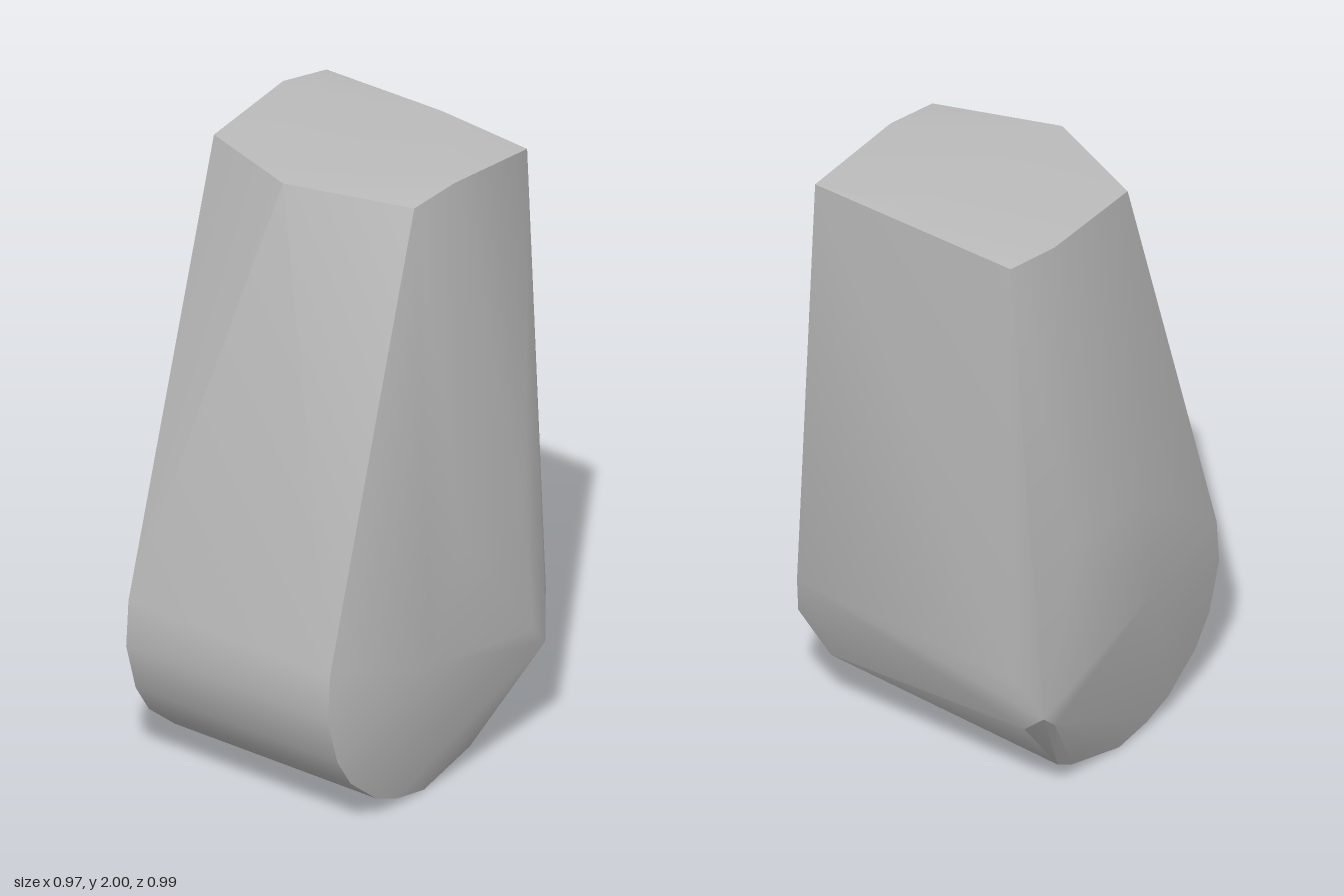
import * as THREE from 'three';
import { ConvexGeometry } from 'three/addons/geometries/ConvexGeometry.js';
import { toCreasedNormals } from 'three/addons/utils/BufferGeometryUtils.js';

export function createModel() {
  const group = new THREE.Group();
  const grey = new THREE.MeshStandardMaterial({ color: 0xbcbcbc });
  grey.name = 'stoneGrey';

  const points = [];
  const add = (list) => list.forEach((p) => points.push(new THREE.Vector3(...p)));

  // slightly uneven cap outline
  add([
    [-0.19, 2.0, -0.02], [-0.06, 1.99, -0.385], [0.12, 1.995, -0.39],
    [0.32, 2.0, -0.42], [0.48, 1.985, -0.38], [0.465, 2.0, 0.07],
    [0.485, 1.965, 0.38], [0.13, 2.0, 0.383], [-0.05, 1.985, 0.37],
  ]);

  // rounded foot, the same arc at front and back
  const arc = [
    [-0.475, 0.58], [-0.486, 0.43], [-0.44, 0.27], [-0.375, 0.17],
    [-0.25, 0.067], [-0.15, 0.025], [-0.02, 0],
  ];
  for (const z of [0.383, -0.385]) add(arc.map(([x, y]) => [x, y, z]));

  // lower right corner of the foot
  add([
    [0.2, 0.055, 0.385], [0.405, 0.22, 0.385],
    [0.2, 0.052, -0.385], [0.26, 0.08, -0.38], [0.44, 0.31, -0.4],
    [0.478, 0.5, -0.4], [0.465, 0.4, -0.497],
  ]);

  // front bulge with its clipped corner
  add([
    [-0.13, 0.5, 0.494], [0.03, 0.85, 0.495], [0.33, 0.85, 0.495],
    [0.37, 0.42, 0.495], [0.43, 0.35, 0.492], [0.48, 0.5, 0.455],
  ]);

  // back bulge
  add([
    [-0.05, 0.6, -0.499], [0.0, 0.95, -0.499], [0.32, 0.95, -0.499],
    [0.41, 0.35, -0.495],
  ]);

  const body = new THREE.Mesh(toCreasedNormals(new ConvexGeometry(points), 0.52), grey);
  body.name = 'taperedBlock';
  group.add(body);
  return group;
}
